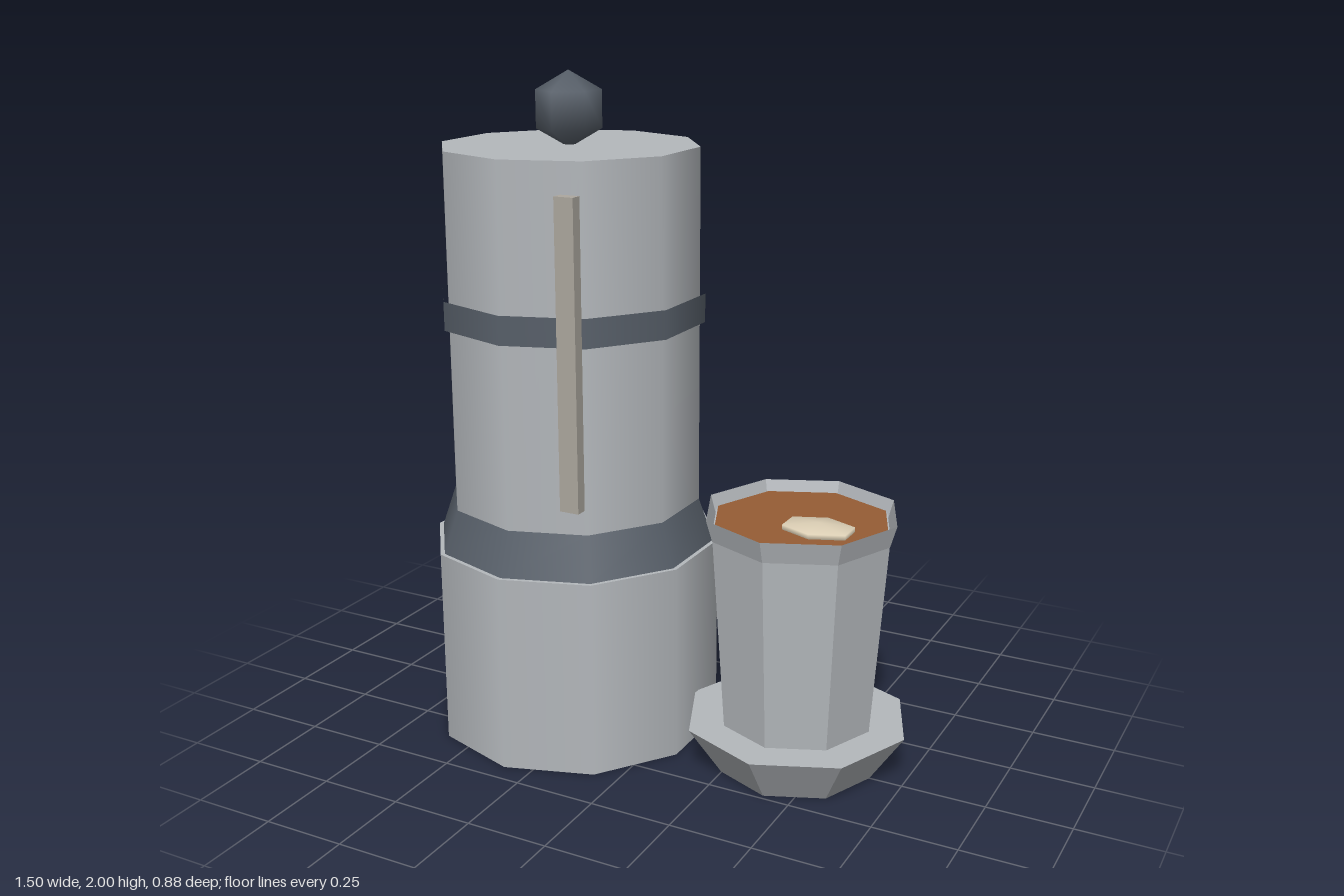
import * as THREE from 'three';

const mat = (name, color, extra = {}) => {
  const m = new THREE.MeshStandardMaterial({ color, ...extra });
  m.name = name;
  return m;
};

export function createModel() {
  const steel = mat('steel', 0xb4b8bc);
  const facetedSteel = mat('facetedSteel', 0xb4b8bc, { flatShading: true, side: THREE.DoubleSide });
  const darkMetal = mat('darkMetal', 0x58606a);
  const gauge = mat('gauge', 0xaca79e);
  const coffee = mat('coffee', 0x965d35, { flatShading: true });
  const cream = mat('cream', 0xdccfb5);

  const add = (parent, name, geometry, material, x = 0, y = 0, z = 0) => {
    const mesh = new THREE.Mesh(geometry, material);
    mesh.name = name;
    mesh.position.set(x, y, z);
    parent.add(mesh);
    return mesh;
  };
  // Tapered drum between two heights
  const drum = (parent, name, material, sides, y0, y1, r0, r1, open = false) =>
    add(parent, name, new THREE.CylinderGeometry(r1, r0, y1 - y0, sides, 1, open), material, 0, (y0 + y1) / 2);
  // Six-sided bead with corners pointing along z
  const bead = (rx, ry, rz) =>
    new THREE.SphereGeometry(1, 6, 3).rotateY(Math.PI / 2).scale(rx, ry, rz);

  const model = new THREE.Group();
  model.name = 'coffeeSet';

  // Grinder: ten-sided smooth drums stacked upwards
  const grinder = new THREE.Group();
  grinder.name = 'grinder';
  grinder.position.x = -0.335;
  model.add(grinder);
  drum(grinder, 'base', steel, 10, 0, 0.6, 0.44, 0.44);
  drum(grinder, 'collar', darkMetal, 10, 0.6, 0.73, 0.427, 0.382);
  drum(grinder, 'body', steel, 10, 0.73, 1.79, 0.382, 0.382);
  drum(grinder, 'band', darkMetal, 10, 1.28, 1.365, 0.398, 0.398, true);
  add(grinder, 'knob', bead(0.11, 0.11, 0.11), darkMetal, 0, 1.89);
  add(grinder, 'gaugeStrip', new THREE.BoxGeometry(0.06, 0.89, 0.035), gauge, 0.195, 1.255, 0.343);

  // Cup and saucer: eight-sided and faceted
  const cup = new THREE.Group();
  cup.name = 'cup';
  cup.position.x = 0.415;
  model.add(cup);
  drum(cup, 'saucer', facetedSteel, 8, 0, 0.15, 0.235, 0.336);
  drum(cup, 'cupBody', facetedSteel, 8, 0.15, 0.755, 0.228, 0.27);
  drum(cup, 'rim', facetedSteel, 8, 0.73, 0.795, 0.269, 0.288, true);
  drum(cup, 'coffeeSurface', coffee, 8, 0.756, 0.765, 0.264, 0.264);
  add(cup, 'foam', bead(0.127, 0.022, 0.087), cream, 0.075, 0.768, 0.055);

  return model;
}
